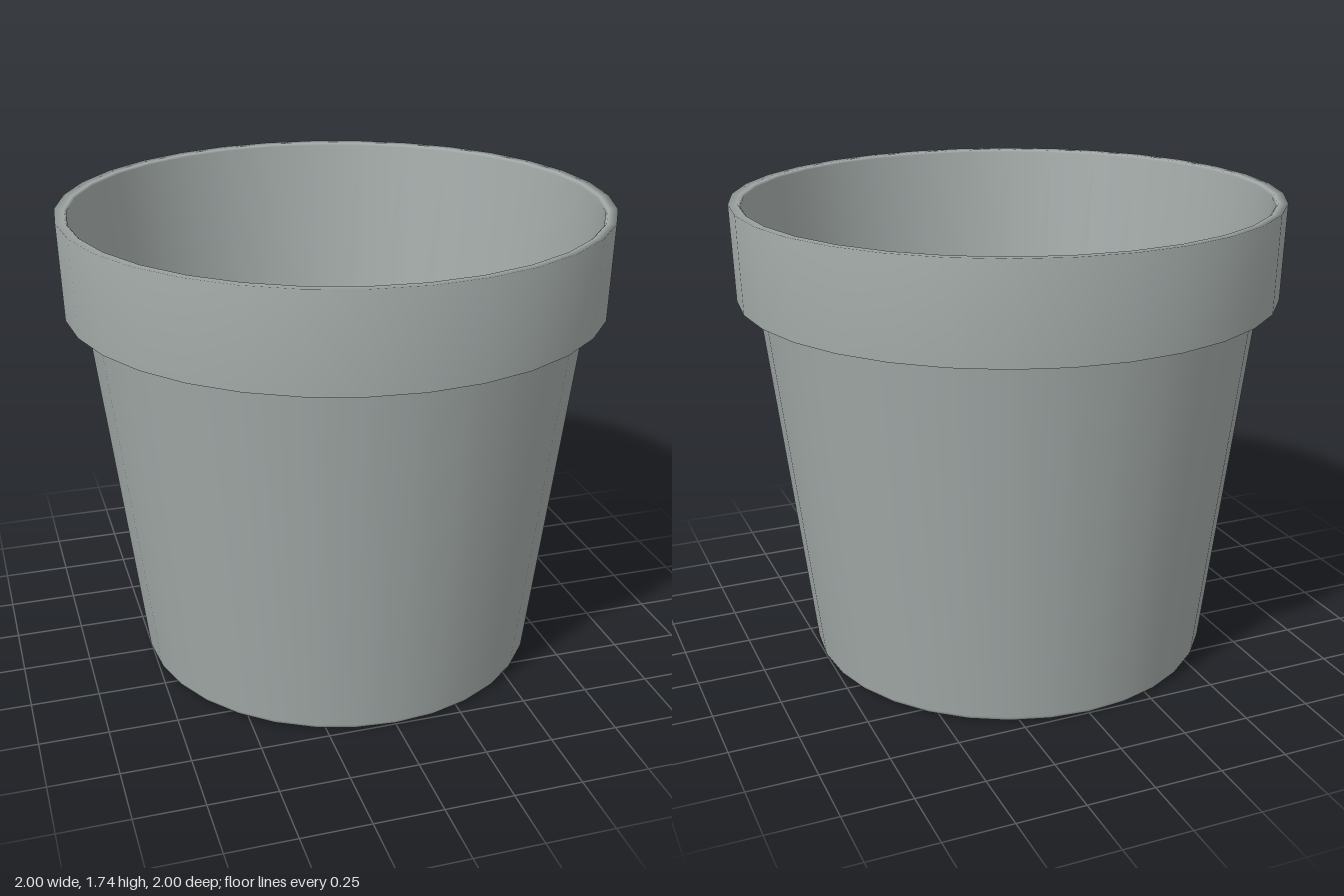
import * as THREE from 'three';

const SIDES = 32;

export function createModel() {
  const pot = new THREE.Group();
  pot.name = 'flowerPot';
  const material = new THREE.MeshStandardMaterial({ color: 0xa3aba9, side: THREE.DoubleSide });

  // One thin smooth sheet: base, rounded base edge, tapered wall, lip, folded-over rim
  const profile = [
    [0, 0], [0.74, 0], [0.751, 0.006], [0.757, 0.02],
    [0.957, 1.73], [0.965, 1.738], [1, 1.74],
    [0.99, 1.39],
  ].map(([r, y]) => new THREE.Vector2(r, y));

  const shell = new THREE.Mesh(new THREE.LatheGeometry(profile, SIDES), material);
  shell.name = 'potShell';
  pot.add(shell);

  return pot;
}
